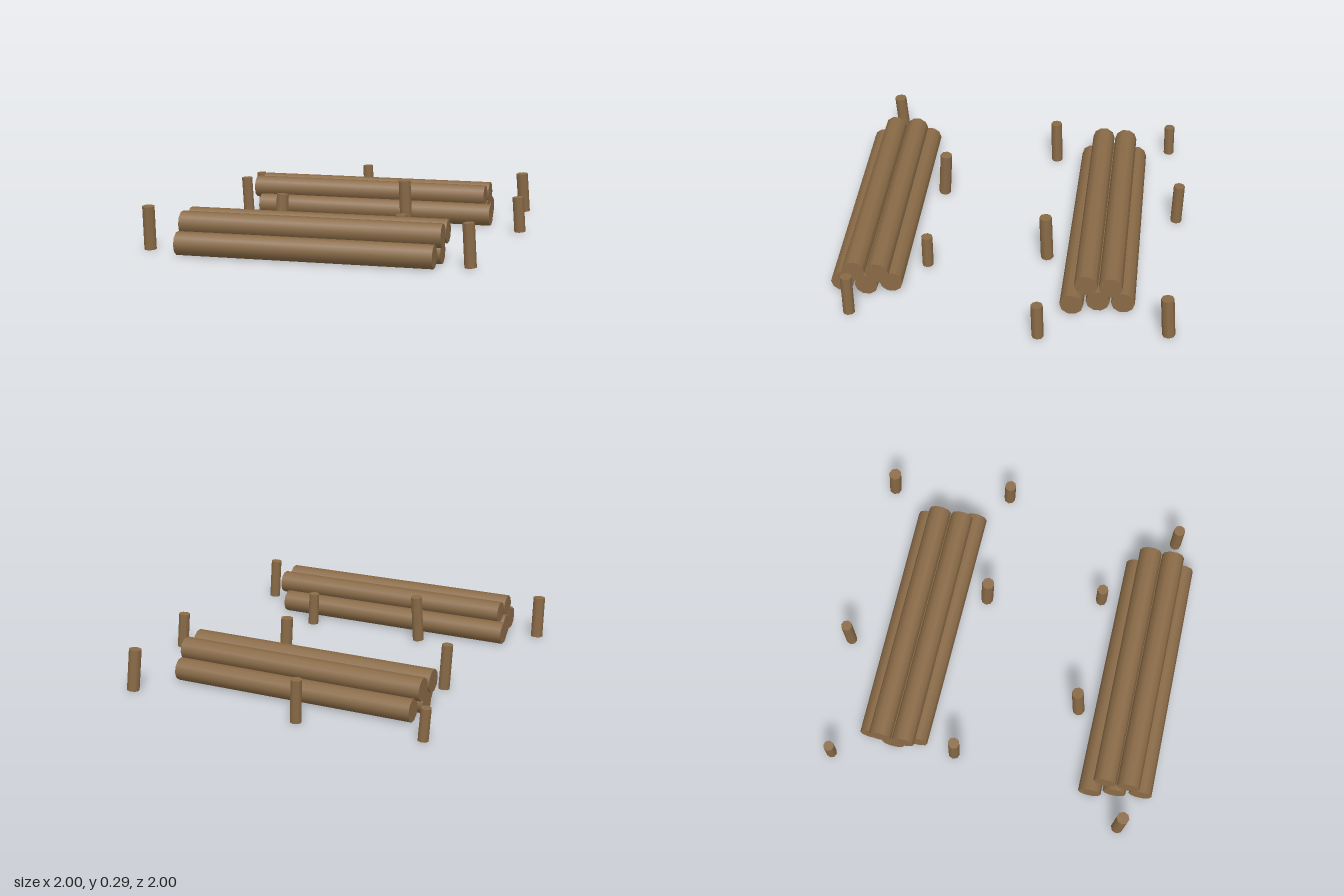
import * as THREE from 'three';

const bark = new THREE.MeshStandardMaterial({ color: 0x8a6b47 });
bark.name = 'bark brown';

// Round timber running between two points
function timber(name, from, to, radius, sides) {
  const a = new THREE.Vector3(...from);
  const b = new THREE.Vector3(...to);
  const dir = b.clone().sub(a);
  const mesh = new THREE.Mesh(new THREE.CylinderGeometry(radius, radius, dir.length(), sides), bark);
  mesh.name = name;
  mesh.position.copy(a).add(b).multiplyScalar(0.5);
  mesh.quaternion.setFromUnitVectors(new THREE.Vector3(0, 1, 0), dir.normalize());
  return mesh;
}

const LOG_RADIUS = 0.067;
const LOW = 0.064;
const HIGH = 0.166;

// Each log: x start, z start, x end, z end, height of the axis
const frontStack = [
  [-0.81, 0.64, 0.67, 0.64, LOW],
  [-0.78, 0.78, 0.71, 0.775, LOW],
  [-0.76, 0.932, 0.695, 0.915, LOW],
  [-0.76, 0.716, 0.725, 0.706, HIGH],
  [-0.76, 0.853, 0.725, 0.844, HIGH],
];
const backStack = [
  [-0.73, -0.42, 0.755, -0.4, LOW],
  [-0.77, -0.55, 0.71, -0.545, LOW],
  [-0.745, -0.69, 0.71, -0.688, LOW],
  [-0.78, -0.483, 0.705, -0.476, HIGH],
  [-0.775, -0.622, 0.71, -0.615, HIGH],
];

// Each stake: foot x, foot z, top x, top z, height, radius
const stakes = [
  [-0.888, -0.9, -0.9, -0.895, 0.19, 0.031],
  [-0.17, -0.965, -0.178, -0.97, 0.255, 0.033],
  [0.872, -0.952, 0.857, -0.932, 0.247, 0.037],
  [-0.735, -0.19, -0.747, -0.181, 0.268, 0.034],
  [0.266, -0.219, 0.257, -0.206, 0.285, 0.037],
  [0.963, -0.232, 0.95, -0.223, 0.212, 0.034],
  [-0.31, 0.475, -0.3, 0.458, 0.285, 0.036],
  [0.41, 0.468, 0.403, 0.47, 0.2, 0.033],
  [-0.962, 0.84, -0.962, 0.858, 0.25, 0.037],
  [0.877, 0.845, 0.864, 0.85, 0.245, 0.034],
];

function stack(name, logs) {
  const group = new THREE.Group();
  group.name = name;
  logs.forEach(([x0, z0, x1, z1, y], i) =>
    group.add(timber(`log${i + 1}`, [x0, y, z0], [x1, y, z1], LOG_RADIUS, 10)));
  return group;
}

export function createModel() {
  const model = new THREE.Group();
  model.name = 'logStacks';
  model.add(stack('frontLogStack', frontStack), stack('backLogStack', backStack));

  // Leaning stakes around both stacks
  const stakeGroup = new THREE.Group();
  stakeGroup.name = 'stakes';
  stakes.forEach(([x0, z0, x1, z1, h, r], i) =>
    stakeGroup.add(timber(`stake${i + 1}`, [x0, 0.002, z0], [x1, h, z1], r, 8)));
  model.add(stakeGroup);
  return model;
}
